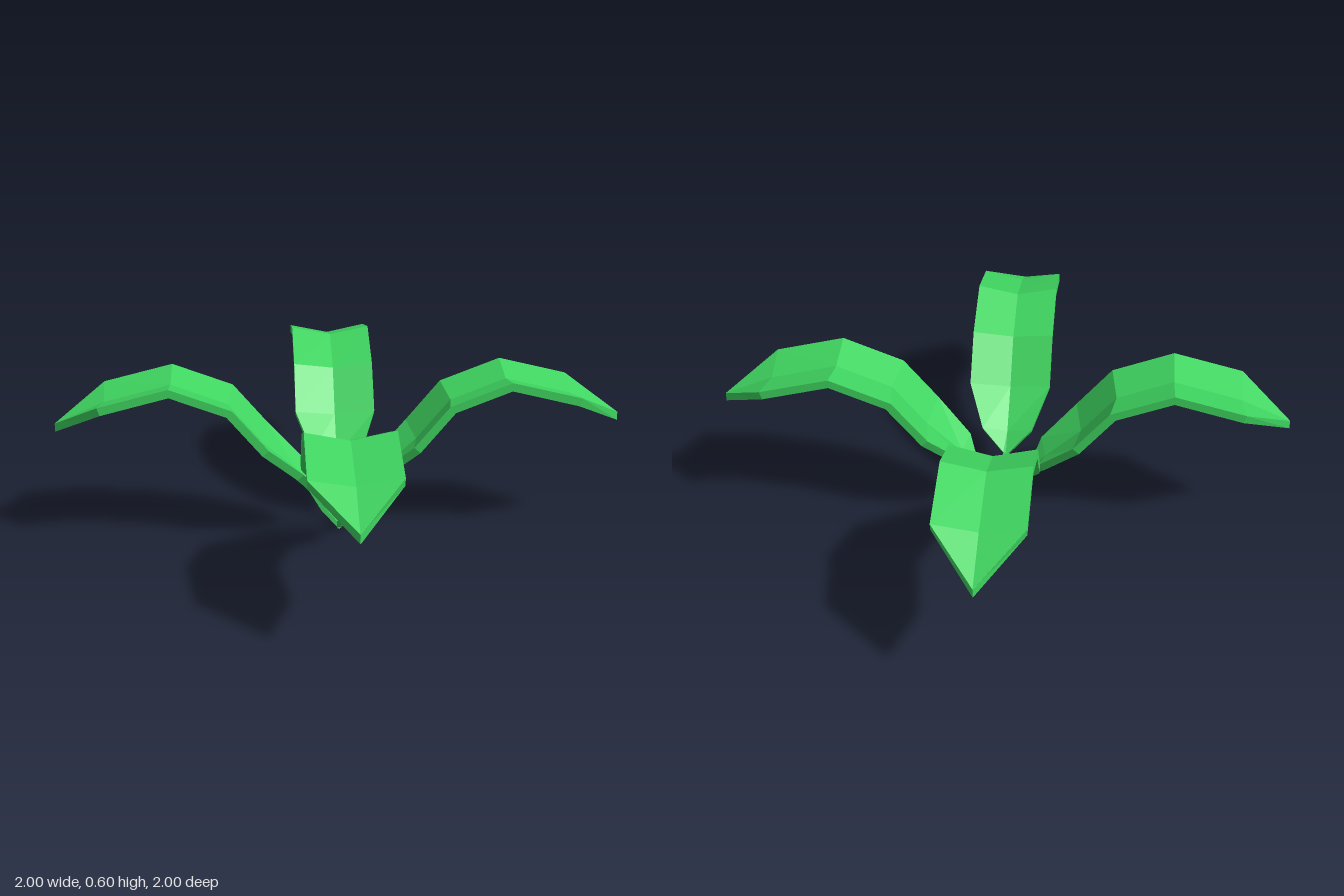
import * as THREE from 'three';

// Leaf stations: [x, y, slope in degrees, half width, fold height, thickness]
const STATIONS = [
  [0, 0.02, 0, 0.008, 0, 0.02],
  [0.05, 0.085, 50, 0.008, 0, 0.018],
  [0.092, 0.172, 45, 0.01, 0, 0.025],
  [0.15, 0.23, 45, 0.09, 0.028, 0.03],
  [0.275, 0.345, 48, 0.147, 0.03, 0.03],
  [0.395, 0.49, 40, 0.147, 0.03, 0.03],
  [0.59, 0.565, 0, 0.147, 0.03, 0.03],
  [0.825, 0.506, -18, 0.147, 0.03, 0.03],
  [1, 0.43, 0, 0.001, 0, 0.03],
];

// Joins V-shaped six-point cross-sections into a closed strip along +x
function stripGeometry(stations) {
  const positions = [];
  const index = [];
  for (const [x, y, slope, w, fold, thick] of stations) {
    const a = THREE.MathUtils.degToRad(slope);
    const ring = [[-w, fold], [0, 0], [w, fold], [w, fold - thick], [0, -thick], [-w, fold - thick]];
    for (const [z, h] of ring) positions.push(x - Math.sin(a) * h, y + Math.cos(a) * h, z);
  }
  for (let s = 0; s < stations.length - 1; s++) {
    for (let i = 0; i < 6; i++) {
      const a = s * 6 + i;
      const b = s * 6 + (i + 1) % 6;
      index.push(a, b, b + 6, a, b + 6, a + 6);
    }
  }
  // End caps, split along the fold
  const e = (stations.length - 1) * 6;
  for (const [p, q, r, t] of [[0, 1, 4, 5], [1, 2, 3, 4]]) {
    index.push(p, r, q, p, t, r);
    index.push(e + p, e + q, e + r, e + p, e + r, e + t);
  }
  const geometry = new THREE.BufferGeometry();
  geometry.setAttribute('position', new THREE.Float32BufferAttribute(positions, 3));
  geometry.setIndex(index);
  geometry.computeVertexNormals();
  return geometry;
}

export function createModel() {
  const model = new THREE.Group();
  model.name = 'plant';
  const leafGreen = new THREE.MeshStandardMaterial({ color: 0x3fd560, flatShading: true });
  leafGreen.name = 'leafGreen';

  const stem = stripGeometry(STATIONS.slice(0, 3));
  const blade = stripGeometry(STATIONS.slice(2));

  // Four identical leaves around the centre, each with a slight yaw
  for (let i = 0; i < 4; i++) {
    const leaf = new THREE.Group();
    leaf.name = `leaf${i + 1}`;
    const stemMesh = new THREE.Mesh(stem, leafGreen);
    stemMesh.name = 'stem';
    const bladeMesh = new THREE.Mesh(blade, leafGreen);
    bladeMesh.name = 'blade';
    leaf.add(stemMesh, bladeMesh);
    leaf.rotation.y = i * Math.PI / 2 + 0.014;
    model.add(leaf);
  }
  return model;
}
